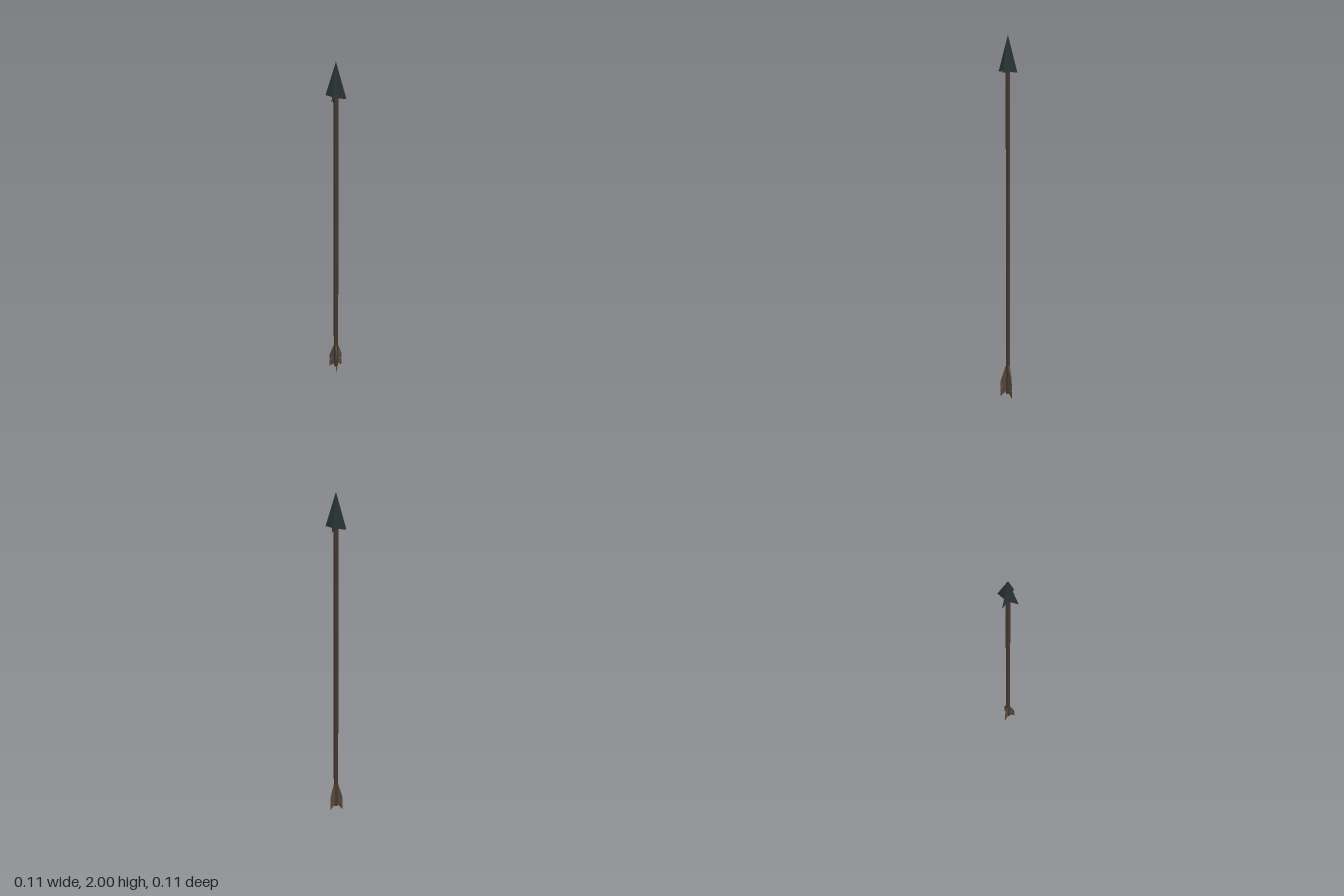
import * as THREE from 'three';

const material = (name, color, side = THREE.FrontSide) =>
  new THREE.MeshStandardMaterial({ name, color, side, flatShading: true });

const iron = material('dark iron', 0x2a3333);
const wood = material('dark wood', 0x43372f);
const feather = material('brown feather', 0x55473b, THREE.DoubleSide);

// Four-pointed star pyramid: every other corner of an eight-sided cone is pulled in
function headGeometry() {
  const geo = new THREE.ConeGeometry(0.054, 0.183, 8);
  const p = geo.attributes.position;
  for (let i = 0; i < p.count; i++) {
    const x = p.getX(i), z = p.getZ(i);
    if (Math.abs(x) > 0.001 && Math.abs(z) > 0.001) {
      p.setX(i, Math.sign(x) * 0.011);
      p.setZ(i, Math.sign(z) * 0.008);
    }
  }
  geo.computeVertexNormals();
  return geo;
}

// Feather with two swept barbs, thick at the shaft and sharp at the outer edge
function featherGeometry() {
  const outline = [
    [0, 0.195], [0.011, 0.19], [0.026, 0.145], [0.041, 0.095], [0.042, 0.05],
    [0.024, 0.078], [0.026, 0.07], [0.042, 0.045], [0.042, 0], [0.011, 0.035], [0, 0.035],
  ].map(([x, y]) => new THREE.Vector2(x, y));
  const depth = 0.014;
  const geo = new THREE.ExtrudeGeometry(new THREE.Shape(outline), { depth, bevelEnabled: false });
  const p = geo.attributes.position;
  for (let i = 0; i < p.count; i++) {
    p.setZ(i, (p.getZ(i) - depth / 2) * (1 - p.getX(i) / 0.043));
  }
  geo.computeVertexNormals();
  return geo;
}

export function createModel() {
  const arrow = new THREE.Group();
  arrow.name = 'arrow';

  const add = (name, geo, mat, y = 0) => {
    const mesh = new THREE.Mesh(geo, mat);
    mesh.name = name;
    mesh.position.y = y;
    arrow.add(mesh);
    return mesh;
  };

  add('arrowHead', headGeometry(), iron, 1.9085);

  // Six-sided shaft
  add('shaft', new THREE.CylinderGeometry(0.013, 0.013, 1.82, 6), wood, 0.93);

  // Three feathers, one pointing to -x
  const vane = featherGeometry();
  for (let i = 0; i < 3; i++) {
    add('feather' + (i + 1), vane, feather).rotation.y = Math.PI + (i * Math.PI * 2) / 3;
  }
  return arrow;
}
